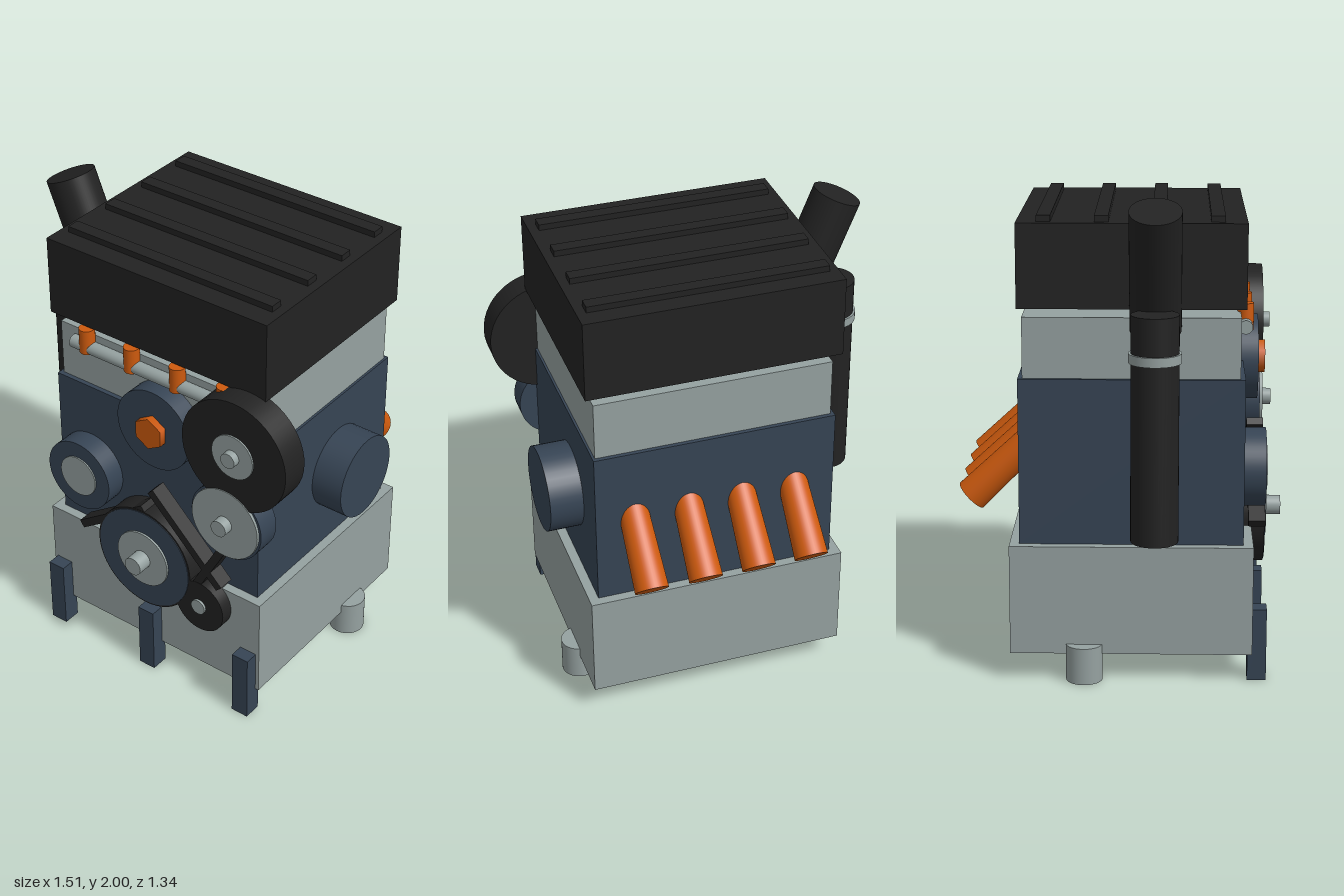
import * as THREE from 'three';

export function createModel() {
  const model = new THREE.Group();
  model.name = 'engine';

  const material = (name, color) => {
    const m = new THREE.MeshStandardMaterial({ color });
    m.name = name;
    return m;
  };
  const black = material('black plastic', 0x222222);
  const blue = material('blue steel', 0x364454);
  const grey = material('grey metal', 0x95a1a0);
  const orange = material('orange', 0xcd5a0e);

  const add = (name, geometry, mat) => {
    const mesh = new THREE.Mesh(geometry, mat);
    mesh.name = name;
    model.add(mesh);
    return mesh;
  };
  // Box given by its limits on each axis
  const box = (name, mat, x0, x1, y0, y1, z0, z1) =>
    add(name, new THREE.BoxGeometry(x1 - x0, y1 - y0, z1 - z0), mat)
      .position.set((x0 + x1) / 2, (y0 + y1) / 2, (z0 + z1) / 2);
  // Cylinder running from point a to point b
  const rod = (name, mat, a, b, rA, rB = rA, sides = 40) => {
    const from = new THREE.Vector3(...a), to = new THREE.Vector3(...b);
    const axis = to.clone().sub(from);
    const mesh = add(name, new THREE.CylinderGeometry(rB, rA, axis.length(), sides), mat);
    mesh.position.copy(from).add(to).multiplyScalar(0.5);
    mesh.quaternion.setFromUnitVectors(new THREE.Vector3(0, 1, 0), axis.normalize());
  };
  // Disc facing the front
  const disc = (name, mat, x, y, r, z0, z1, sides = 48) =>
    rod(name, mat, [x, y, z0], [x, y, z1], r, r, sides);

  // Main body, stacked from the bottom
  box('sump', grey, -0.5, 0.6, 0.115, 0.572, -0.45, 0.54);
  box('block', blue, -0.46, 0.56, 0.572, 1.257, -0.41, 0.5);
  box('cylinderHead', grey, -0.445, 0.55, 1.257, 1.505, -0.392, 0.48);
  box('topCover', black, -0.48, 0.585, 1.545, 1.885, -0.41, 0.5);
  for (const z of [-0.302, -0.074, 0.155, 0.384])
    box('coverRib', black, -0.442, 0.546, 1.88, 1.91, z - 0.028, z + 0.028);

  // Feet and side mounts
  for (const x of [-0.445, 0.052, 0.545])
    box('frontLeg', blue, x - 0.039, x + 0.039, 0, 0.305, 0.52, 0.598);
  for (const x of [-0.483, 0.585])
    rod('sideMount', grey, [x, 0, -0.147], [x, 0.155, -0.147], 0.075);

  // Intake pipe and canister on the right
  rod('intakePipe', black, [-0.458, 1.463, 0.14], [-0.66, 1.957, 0.14], 0.103);
  rod('canister', black, [-0.655, 0.65, 0.14], [-0.655, 1.56, 0.14], 0.095);
  rod('canisterBand', grey, [-0.655, 1.372, 0.14], [-0.655, 1.41, 0.14], 0.104);

  // Round housing on the left side
  rod('sideHousing', blue, [0.45, 0.915, -0.053], [0.7, 0.915, -0.053], 0.181);

  // Fuel rail, injectors and exhaust stubs, one set per cylinder
  rod('fuelRail', grey, [-0.365, 1.452, 0.5], [0.465, 1.452, 0.5], 0.028);
  for (const x of [-0.292, -0.064, 0.164, 0.393]) {
    rod('injector', orange, [x, 1.43, 0.5], [x, 1.54, 0.5], 0.033, 0.033, 24);
    rod('exhaustStub', orange, [x, 0.995, -0.34], [x, 0.727, -0.617], 0.06, 0.07);
  }

  // Upper pulley
  disc('upperPulley', black, 0.506, 1.314, 0.246, 0.475, 0.598);
  disc('upperPulleyFace', grey, 0.506, 1.314, 0.097, 0.55, 0.605);
  disc('upperPulleyHub', grey, 0.506, 1.314, 0.033, 0.6, 0.635);

  // Water pump
  disc('pump', blue, 0.468, 0.972, 0.17, 0.49, 0.59);
  disc('pumpFace', grey, 0.468, 0.972, 0.16, 0.55, 0.602);
  disc('pumpHub', grey, 0.468, 0.972, 0.036, 0.6, 0.643);

  // Cam wheel with hexagonal bolt
  disc('camWheel', blue, 0.088, 1.238, 0.18, 0.47, 0.565);
  disc('camBolt', orange, 0.088, 1.238, 0.071, 0.55, 0.597, 6);

  // Idler
  disc('idler', blue, -0.293, 0.858, 0.161, 0.48, 0.59);
  disc('idlerFace', grey, -0.293, 0.858, 0.092, 0.55, 0.596);

  // Crank pulley
  disc('crankRim', black, 0.05, 0.593, 0.24, 0.48, 0.596);
  disc('crankFace', blue, 0.05, 0.593, 0.232, 0.55, 0.599);
  disc('crankDisc', grey, 0.05, 0.593, 0.13, 0.55, 0.608);
  disc('crankHub', grey, 0.05, 0.593, 0.041, 0.6, 0.672);

  // Belt tensioner
  disc('tensioner', black, 0.336, 0.477, 0.121, 0.5, 0.596);
  disc('tensionerHub', grey, 0.336, 0.477, 0.034, 0.55, 0.606);

  // Straight belt runs between the pulleys
  const runs = [
    [-0.285, 0.61, 0.05, 0.842],
    [0.09, 0.952, 0.435, 0.615],
    [0.45, 0.825, 0.26, 0.475],
  ];
  for (const [x0, y0, x1, y1] of runs) {
    const length = Math.hypot(x1 - x0, y1 - y0);
    const belt = add('beltRun', new THREE.BoxGeometry(length, 0.036, 0.07), black);
    belt.position.set((x0 + x1) / 2, (y0 + y1) / 2, 0.56);
    belt.rotation.z = Math.atan2(y1 - y0, x1 - x0);
  }

  return model;
}
